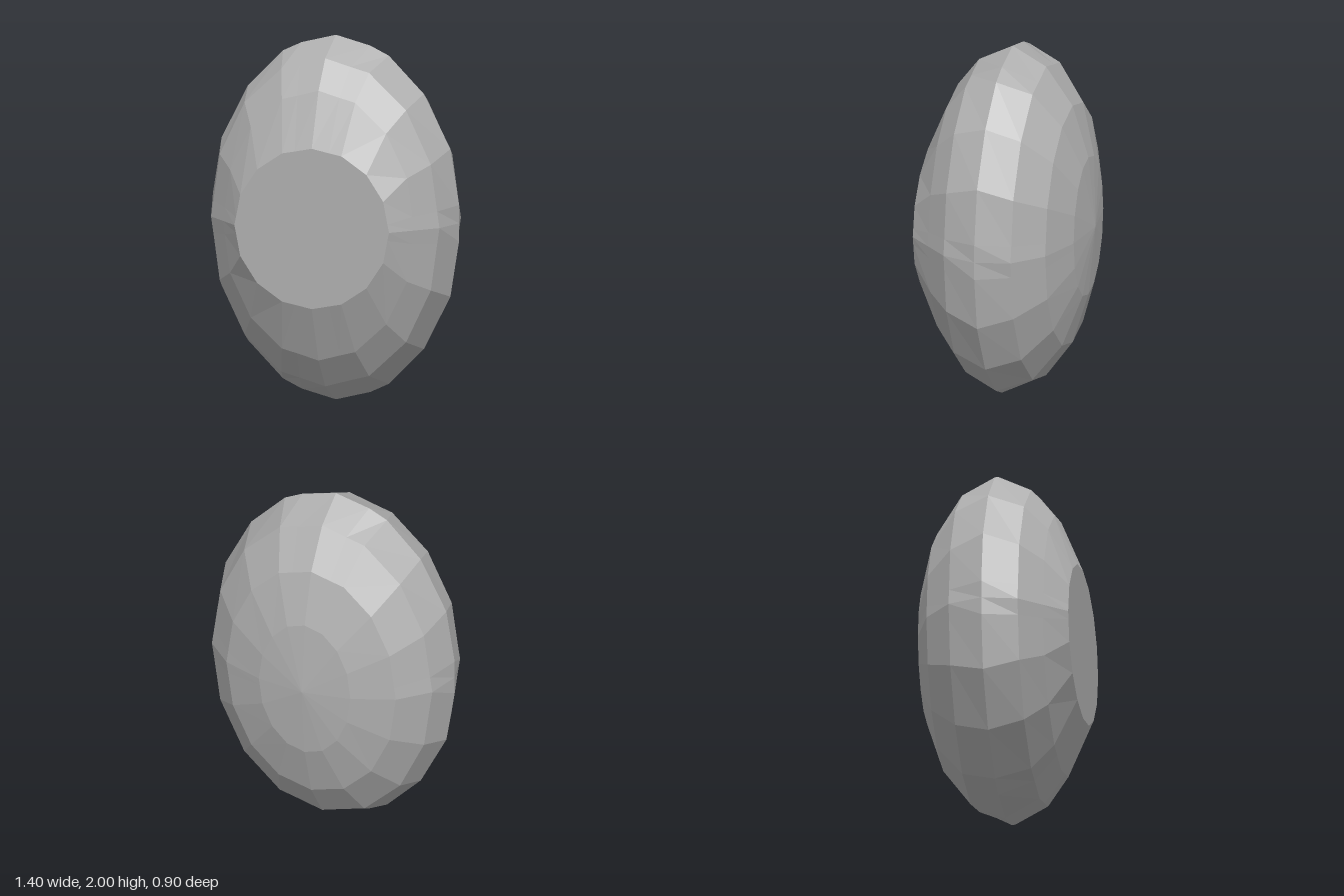
import * as THREE from 'three';

// Quarter outlines from top to side, as fractions of the ring's radii
const FACETED = [[0, 1], [0.22, 0.955], [0.383, 0.924], [0.707, 0.707], [0.924, 0.383], [0.979, 0.1], [1, 0]];
const WIDEST = [[0, 1], [0.28, 0.95], [0.43, 0.9], [0.714, 0.7], [0.93, 0.405], [1, 0.1], [1, 0]];

// Rings from back to front: z, half width, half height, outline
const RINGS = [
  [-0.41, 0.27, 0.4, FACETED],
  [-0.32, 0.5, 0.69, FACETED],
  [-0.17, 0.65, 0.9, FACETED],
  [0.02, 0.7, 1, WIDEST],
  [0.21, 0.65, 0.9, FACETED],
  [0.33, 0.545, 0.74, FACETED],
  [0.45, 0.44, 0.44, FACETED],
];
const BACK_Z = -0.45;

// Mirrors a quarter outline into a full ring, anticlockwise seen from the front
function ringPoints([z, rx, ry, quarter]) {
  const n = quarter.length - 1;
  const points = [];
  for (let q = 0; q < 4; q++) {
    for (let k = 0; k < n; k++) {
      const [x, y] = quarter[q % 2 ? n - k : k];
      const sx = q < 2 ? -1 : 1;
      const sy = q === 0 || q === 3 ? 1 : -1;
      points.push(new THREE.Vector3(sx * x * rx, 1 + sy * y * ry, z));
    }
  }
  return points;
}

function meshFrom(name, triangles, material) {
  const geometry = new THREE.BufferGeometry().setFromPoints(triangles);
  geometry.computeVertexNormals();
  const mesh = new THREE.Mesh(geometry, material);
  mesh.name = name;
  return mesh;
}

export function createModel() {
  const grey = new THREE.MeshStandardMaterial({ color: 0xb0b0b0 });
  grey.name = 'stone grey';
  grey.flatShading = true;

  const rings = RINGS.map(ringPoints);
  const count = rings[0].length;
  const front = rings[rings.length - 1];
  const backPole = new THREE.Vector3(0, 1, BACK_Z);
  const frontCentre = new THREE.Vector3(0, 1, front[0].z);
  const shell = [];
  const face = [];

  for (let j = 0; j < count; j++) {
    const k = (j + 1) % count;
    // Shallow fan closing the back
    shell.push(backPole, rings[0][k], rings[0][j]);
    // Bands between neighbouring rings
    for (let i = 0; i < rings.length - 1; i++) {
      const a = rings[i], b = rings[i + 1];
      shell.push(a[j], a[k], b[k], a[j], b[k], b[j]);
    }
    // Flat cut at the front
    face.push(frontCentre, front[j], front[k]);
  }

  const model = new THREE.Group();
  model.name = 'facetedEgg';
  model.add(meshFrom('shell', shell, grey), meshFrom('flatFrontFace', face, grey));
  return model;
}
